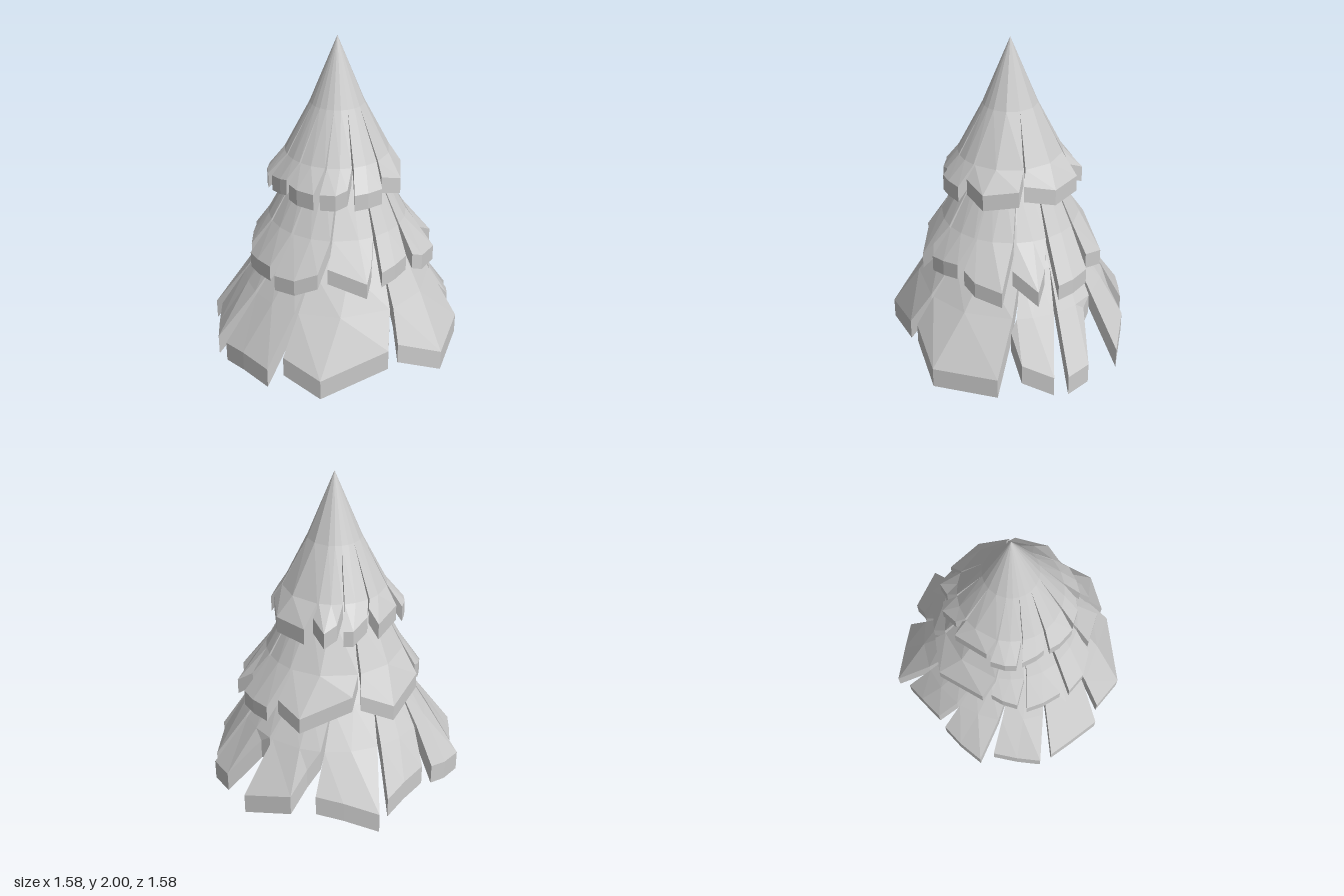
import * as THREE from 'three';

const material = new THREE.MeshStandardMaterial({ color: 0xcccccc, flatShading: true });
const { lerp, degToRad } = THREE.MathUtils;

const polar = (degrees, r, y) => {
  const a = degToRad(degrees);
  return new THREE.Vector3(Math.sin(a) * r, y, Math.cos(a) * r);
};

// Closed, thick slab from rows of outer points; the inner skin hangs below
function slab(rows, thickness) {
  const positions = [];
  const tri = (a, b, c) => {
    // Skip the triangles that collapse at the apex
    if (a.distanceTo(b) > 1e-5 && b.distanceTo(c) > 1e-5 && c.distanceTo(a) > 1e-5) {
      for (const p of [a, b, c]) positions.push(p.x, p.y, p.z);
    }
  };
  const quad = (a, b, c, d) => { tri(a, b, c); tri(a, c, d); };
  const inner = rows.map(row => row.map(p => p.clone().setY(p.y - thickness)));
  const last = rows.length - 1, end = rows[0].length - 1;
  for (let k = 0; k < last; k++) {
    // Outer and inner skin
    for (let c = 0; c < end; c++) {
      quad(rows[k][c], rows[k + 1][c], rows[k + 1][c + 1], rows[k][c + 1]);
      quad(inner[k][c], inner[k][c + 1], inner[k + 1][c + 1], inner[k + 1][c]);
    }
    // Side walls
    quad(rows[k][0], inner[k][0], inner[k + 1][0], rows[k + 1][0]);
    quad(rows[k][end], rows[k + 1][end], inner[k + 1][end], inner[k][end]);
  }
  // Cut end at the rim
  for (let c = 0; c < end; c++) {
    quad(rows[last][c], inner[last][c], inner[last][c + 1], rows[last][c + 1]);
  }
  const geometry = new THREE.BufferGeometry();
  geometry.setAttribute('position', new THREE.Float32BufferAttribute(positions, 3));
  geometry.computeVertexNormals();
  return geometry;
}

// upper and lower are rings {r, y}; rim gives the height of the cut ends.
// Each bough is [start angle, start reach, corner angle, corner reach, end reach]
// and runs up to the next one less a gap.
function createTier(name, { apex, upper, lower, rim, gap, thickness }, boughs) {
  const group = new THREE.Group();
  group.name = name;
  const rimPoint = (angle, r) => polar(angle, r, rim.y + Math.max(0, rim.r - r) * rim.slope);

  boughs.forEach(([start, startReach, corner, cornerReach, endReach], i) => {
    const next = i + 1 < boughs.length ? boughs[i + 1][0] : boughs[0][0] + 360;
    const end = next - gap;
    const cut = [start, corner, end];
    const closed = [start - gap / 2, (start + end) / 2, end + gap / 2];
    // The boughs swirl slightly and merge towards the apex
    const rows = [
      closed.map(() => new THREE.Vector3(0, apex, 0)),
      closed.map(a => polar(a + 10, upper.r, upper.y)),
      closed.map((a, c) => polar(lerp(a, cut[c], 0.4) + 5, lower.r, lower.y)),
      [rimPoint(start, startReach), rimPoint(corner, cornerReach), rimPoint(end, endReach)],
    ];
    const bough = new THREE.Mesh(slab(rows, thickness), material);
    bough.name = 'bough';
    group.add(bough);
  });
  return group;
}

export function createModel() {
  const tree = new THREE.Group();
  tree.name = 'coniferTree';

  tree.add(createTier('lowerTier', {
    apex: 1.3, upper: { r: 0.44, y: 0.68 }, lower: { r: 0.59, y: 0.45 },
    rim: { r: 0.785, y: 0.13, slope: 1.45 }, gap: 6, thickness: 0.13,
  }, [
    [-7, 0.695, 14, 0.805, 0.778], [50, 0.62, 55, 0.73, 0.785],
    [75, 0.81, 87, 0.78, 0.6], [104, 0.81, 126, 0.74, 0.64],
    [138, 0.725, 151, 0.745, 0.82], [172, 0.756, 183, 0.72, 0.706],
    [203, 0.73, 214, 0.763, 0.813], [232, 0.76, 244, 0.78, 0.82],
    [261, 0.8, 273, 0.775, 0.786], [295, 0.73, 314, 0.785, 0.706],
  ]));

  tree.add(createTier('middleTier', {
    apex: 1.6, upper: { r: 0.26, y: 1.2 }, lower: { r: 0.43, y: 0.88 },
    rim: { r: 0.585, y: 0.645, slope: 1.5 }, gap: 6, thickness: 0.1,
  }, [
    [-10, 0.55, 1, 0.54, 0.53], [19, 0.54, 28, 0.57, 0.61],
    [51, 0.52, 65, 0.62, 0.53], [78, 0.6, 89, 0.59, 0.58],
    [108, 0.54, 126, 0.58, 0.5], [165, 0.5, 186, 0.563, 0.53],
    [227, 0.51, 235, 0.53, 0.55], [251, 0.57, 262, 0.565, 0.56],
    [281, 0.58, 295, 0.575, 0.54], [315, 0.52, 339, 0.576, 0.52],
  ]));

  tree.add(createTier('topTier', {
    apex: 2, upper: { r: 0.165, y: 1.6 }, lower: { r: 0.32, y: 1.3 },
    rim: { r: 0.41, y: 1.17, slope: 1.2 }, gap: 5, thickness: 0.1,
  }, [
    [-25, 0.42, -13, 0.415, 0.41], [6, 0.37, 27, 0.415, 0.39],
    [62, 0.37, 90, 0.41, 0.42], [127, 0.365, 139, 0.44, 0.385],
    [154, 0.41, 162, 0.42, 0.37], [183, 0.34, 186, 0.41, 0.39],
    [224, 0.42, 236, 0.43, 0.43], [250, 0.415, 263, 0.4, 0.39],
    [276, 0.4, 286, 0.41, 0.42], [307, 0.41, 320, 0.41, 0.39],
  ]));

  return tree;
}
